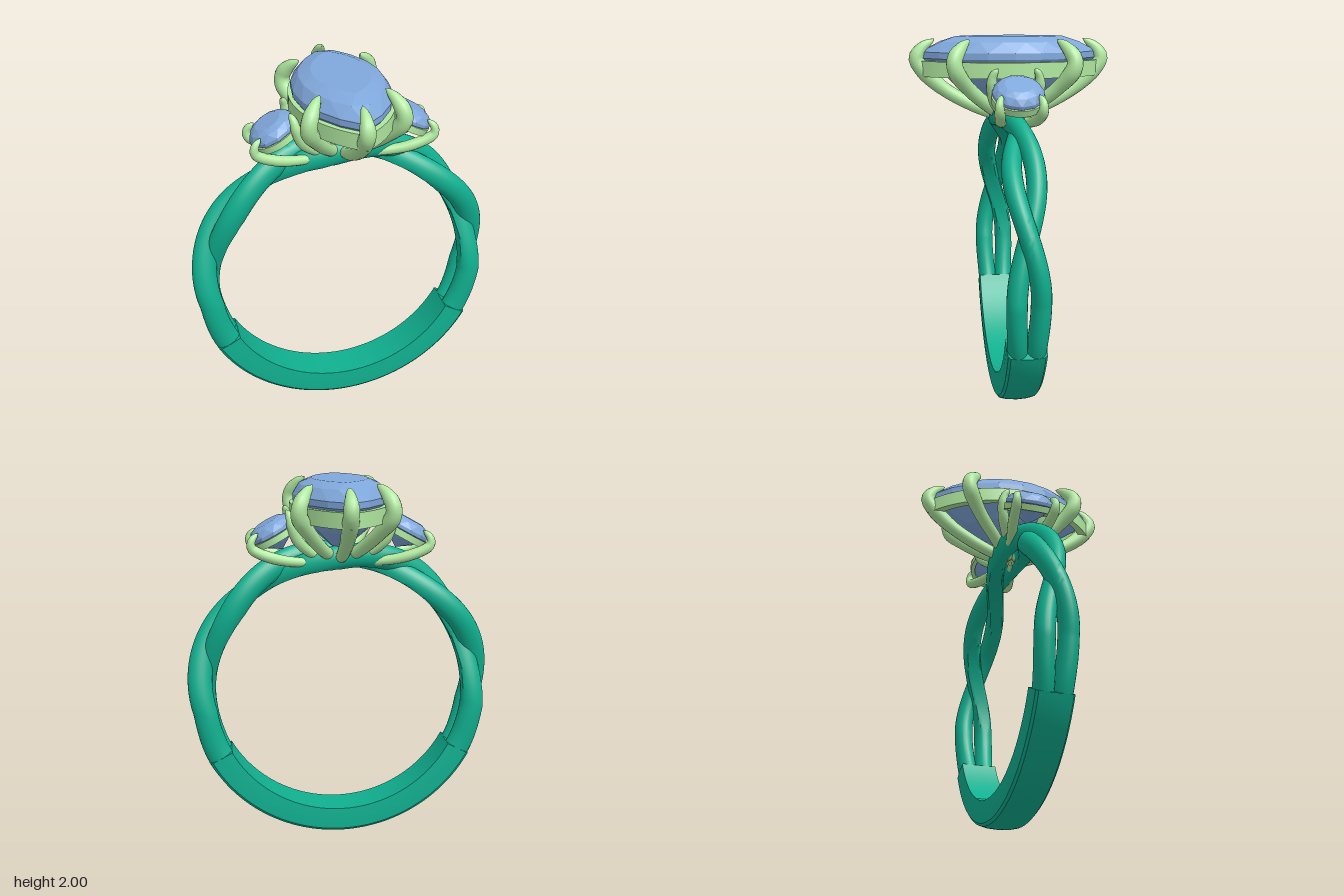
import * as THREE from 'three';
import { toCreasedNormals } from 'three/addons/utils/BufferGeometryUtils.js';
import { ConvexGeometry } from 'three/addons/geometries/ConvexGeometry.js';

const V = (x, y, z) => new THREE.Vector3(x, y, z);
const RAD = Math.PI / 180;
const CY = 0.835; // height of the ring centre
const INNER = 0.685; // finger hole radius

const bandMat = new THREE.MeshStandardMaterial({ color: 0x10b090 });
const settingMat = new THREE.MeshStandardMaterial({ color: 0xb0e8a0 });
const gemMat = new THREE.MeshStandardMaterial({ color: 0x80a8dc });

function mesh(geo, mat, name) {
  const m = new THREE.Mesh(geo, mat);
  m.name = name;
  return m;
}

// Skin a list of equal rings (counter-clockwise about the path) and cap both ends
function loft(rings) {
  const n = rings[0].length, last = rings.length - 1;
  const pts = rings.flat(), index = [];
  for (let i = 0; i < last; i++) {
    for (let j = 0; j < n; j++) {
      const k = (j + 1) % n;
      const a = i * n + j, b = i * n + k, c = a + n, d = b + n;
      index.push(a, b, d, a, d, c);
    }
  }
  for (const [i, end] of [[0, false], [last, true]]) {
    const centre = rings[i].reduce((s, p) => s.add(p), V(0, 0, 0)).divideScalar(n);
    const ci = pts.push(centre) - 1;
    for (let j = 0; j < n; j++) {
      const a = i * n + j, b = i * n + (j + 1) % n;
      if (end) index.push(ci, a, b);
      else index.push(ci, b, a);
    }
  }
  const geo = new THREE.BufferGeometry().setFromPoints(pts);
  geo.setIndex(index);
  geo.computeVertexNormals();
  return geo;
}

// Point on the ring at an angle, radius and depth
const onRing = (th, r, z) => V(r * Math.cos(th), CY + r * Math.sin(th), z);

// One of two strands twisting round each other, trimmed by the finger hole
function strand(k) {
  const rings = [], steps = 200;
  for (let i = 0; i <= steps; i++) {
    const deg = -35 + (250 * i) / steps;
    const turn = THREE.MathUtils.clamp((deg - 90) / 49, -2, 2);
    const phi = Math.PI * (turn + k);
    const tail = THREE.MathUtils.smoothstep(Math.abs(deg - 90), 100, 121);
    const zc = (0.06 - 0.012 * tail) * Math.cos(phi);
    const rc = 0.75 - 0.03 * Math.sin(phi) + 0.01 * tail;
    const hr = 0.067 + 0.005 * tail;
    const ring = [];
    for (let j = 0; j < 24; j++) {
      const a = (j / 24) * Math.PI * 2;
      ring.push(onRing(deg * RAD, Math.max(INNER, rc + hr * Math.sin(a)), zc + 0.052 * Math.cos(a)));
    }
    rings.push(ring);
  }
  return toCreasedNormals(loft(rings), 0.7);
}

// Solid lower shank: flat inside, softly domed outside
function shank() {
  const section = [[-0.1, 0.687], [0.1, 0.687], [0.103, 0.75], [0.1, 0.808],
    [0.088, 0.823], [0.05, 0.832], [0, 0.835], [-0.05, 0.832], [-0.088, 0.823], [-0.1, 0.808], [-0.103, 0.75]];
  const rings = [];
  for (let i = 0; i <= 80; i++) {
    const th = (-152 + (124 * i) / 80) * RAD;
    rings.push(section.map(([z, r]) => onRing(th, r, z)));
  }
  return toCreasedNormals(loft(rings), 0.6);
}

// Tapered claw along a smooth path, with a rounded tip
function claw(points, radii) {
  const curve = new THREE.CatmullRomCurve3(points);
  const steps = 40, frames = curve.computeFrenetFrames(steps);
  const rings = [];
  for (let i = 0; i <= steps; i++) {
    const t = i / steps, f = t * (radii.length - 1);
    const s = Math.min(Math.floor(f), radii.length - 2);
    let r = THREE.MathUtils.lerp(radii[s], radii[s + 1], f - s);
    if (t > 0.92) r *= Math.sqrt(Math.max(0.01, 1 - ((t - 0.92) / 0.08) ** 2));
    const p = curve.getPointAt(t), ring = [];
    for (let j = 0; j < 14; j++) {
      const a = (j / 14) * Math.PI * 2;
      ring.push(p.clone()
        .addScaledVector(frames.normals[i], r * Math.cos(a))
        .addScaledVector(frames.binormals[i], r * Math.sin(a)));
    }
    rings.push(ring);
  }
  return loft(rings);
}

// Outlines as [x, z] for t in 0..1: a pointed oval of two arcs, and a circle
const pointedOval = (a, l) => (t) => {
  const R = (a * a + l * l) / (2 * a), half = Math.asin(l / R);
  const side = t % 1 < 0.5 ? 1 : -1;
  const ang = (((t % 0.5) * 4) - 1) * half * side;
  return [side * (R * Math.cos(ang) - (R - a)), R * Math.sin(ang)];
};
const circle = (r) => (t) => [r * Math.cos(t * 2 * Math.PI), r * Math.sin(t * 2 * Math.PI)];

// Faceted stone from scaled outlines: levels are [scale, height, half-step offset]
function gem(outline, n, levels, culet) {
  const pts = [V(0, culet, 0)];
  for (const [s, y, shift] of levels) {
    for (let i = 0; i < n; i++) {
      const [x, z] = outline((i + shift) / n);
      pts.push(V(x * s, y, z * s));
    }
  }
  return new ConvexGeometry(pts);
}

// Flat-sided hoop under a stone
function gallery(outer, inner, y, height) {
  const trace = (f) => Array.from({ length: 64 }, (_, i) => new THREE.Vector2(...f(i / 64)));
  const shape = new THREE.Shape(trace(outer));
  shape.holes.push(new THREE.Path(trace(inner)));
  const geo = new THREE.ExtrudeGeometry(shape, { depth: height, bevelEnabled: false });
  geo.rotateX(-Math.PI / 2).translate(0, y, 0);
  return toCreasedNormals(geo, 0.5);
}

export function createModel() {
  const model = new THREE.Group();

  // Band
  const band = new THREE.Group();
  band.name = 'band';
  band.add(mesh(shank(), bandMat, 'shank'));
  for (const k of [0, 1]) band.add(mesh(strand(k), bandMat, 'twistedStrand'));
  model.add(band);

  // Centre stone and its head
  const head = new THREE.Group();
  head.name = 'centreHead';
  head.add(mesh(gem(pointedOval(0.25, 0.475), 16,
    [[0.6, 2.0, 0], [0.85, 1.972, 0.5], [1, 1.918, 0], [1, 1.885, 0], [0.62, 1.74, 0.5]], 1.6), gemMat, 'centreStone'));
  head.add(mesh(gallery(pointedOval(0.265, 0.495), pointedOval(0.235, 0.44), 1.79, 0.082), settingMat, 'centreGallery'));
  const clawRadii = [0.024, 0.034, 0.036, 0.038, 0.045, 0.04, 0.014];
  for (const s of [1, -1]) {
    head.add(mesh(claw([V(0, 1.56, 0.01 * s), V(0, 1.635, 0.2 * s), V(0, 1.735, 0.37 * s), V(0, 1.845, 0.48 * s),
      V(0, 1.885, 0.497 * s), V(0, 1.94, 0.465 * s), V(0, 1.985, 0.4 * s)], clawRadii), settingMat, 'endClaw'));
    for (const q of [1, -1]) {
      head.add(mesh(claw([V(0.01 * q, 1.56, 0.01 * s), V(0.1 * q, 1.635, 0.12 * s), V(0.18 * q, 1.735, 0.235 * s),
        V(0.238 * q, 1.83, 0.305 * s), V(0.237 * q, 1.885, 0.312 * s), V(0.205 * q, 1.945, 0.275 * s),
        V(0.165 * q, 1.985, 0.23 * s)], clawRadii), settingMat, 'sideClaw'));
    }
  }
  model.add(head);

  // Small round stones on both shoulders
  const sideRadii = [0.022, 0.024, 0.027, 0.03, 0.028, 0.014];
  for (const q of [1, -1]) {
    const side = new THREE.Group();
    side.name = q > 0 ? 'leftSideHead' : 'rightSideHead';
    const seat = new THREE.Group();
    seat.name = 'sideSeat';
    seat.position.set(0.36 * q, 1.725, 0);
    seat.rotation.z = -29 * RAD * q;
    seat.add(mesh(gem(circle(0.135), 12,
      [[0.55, 0.055, 0], [0.82, 0.038, 0.5], [1, 0.008, 0], [1, -0.01, 0], [0.55, -0.065, 0.5]], -0.115), gemMat, 'sideStone'));
    seat.add(mesh(gallery(circle(0.138), circle(0.115), -0.05, 0.036), settingMat, 'sideGallery'));
    side.add(seat);
    for (const s of [1, -1]) {
      side.add(mesh(claw([V(0.03 * q, 1.56, 0.02 * s), V(0.2 * q, 1.56, 0.06 * s), V(0.36 * q, 1.59, 0.095 * s),
        V(0.472 * q, 1.645, 0.11 * s), V(0.475 * q, 1.685, 0.11 * s), V(0.44 * q, 1.725, 0.095 * s)],
      sideRadii), settingMat, 'outerClaw'));
      side.add(mesh(claw([V(0.03 * q, 1.56, 0.02 * s), V(0.14 * q, 1.6, 0.06 * s), V(0.23 * q, 1.68, 0.11 * s),
        V(0.262 * q, 1.76, 0.125 * s), V(0.275 * q, 1.81, 0.118 * s), V(0.29 * q, 1.845, 0.095 * s)],
      sideRadii), settingMat, 'innerClaw'));
    }
    model.add(side);
  }
  return model;
}
